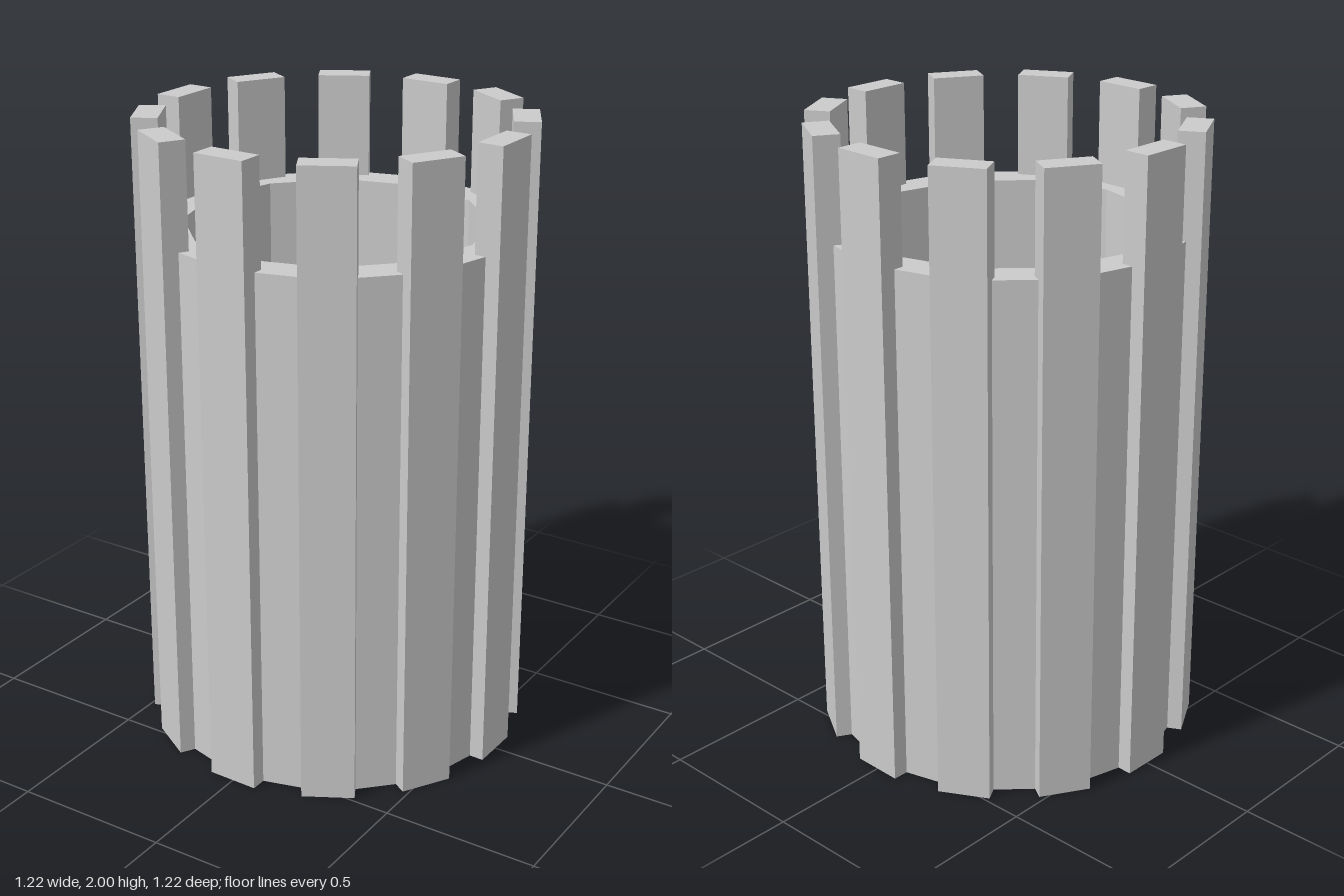
import * as THREE from 'three';

const SIDES = 12;

export function createModel() {
  const group = new THREE.Group();
  const material = new THREE.MeshStandardMaterial({ color: 0xcccccc, flatShading: true });

  // Twelve-sided cup: closed base, outer wall, flat rim, inner wall, floor
  const profile = [
    [0, 0], [0.58, 0], [0.58, 1.67], [0.47, 1.67], [0.47, 0.08], [0, 0.08],
  ].map(([r, y]) => new THREE.Vector2(r, y));
  const cup = new THREE.Mesh(new THREE.LatheGeometry(profile, SIDES), material);
  cup.name = 'cup';
  group.add(cup);

  // Upright slats at the corners, rising above the rim with a slight twist
  const slats = new THREE.Group();
  slats.name = 'slats';
  const slatGeometry = new THREE.BoxGeometry(0.165, 2, 0.082);
  for (let i = 0; i < SIDES; i++) {
    const angle = (i / SIDES) * Math.PI * 2;
    const slat = new THREE.Mesh(slatGeometry, material);
    slat.name = 'slat';
    slat.position.set(Math.sin(angle) * 0.565, 1, Math.cos(angle) * 0.565);
    slat.rotation.y = angle - 0.02;
    slats.add(slat);
  }
  group.add(slats);

  return group;
}
